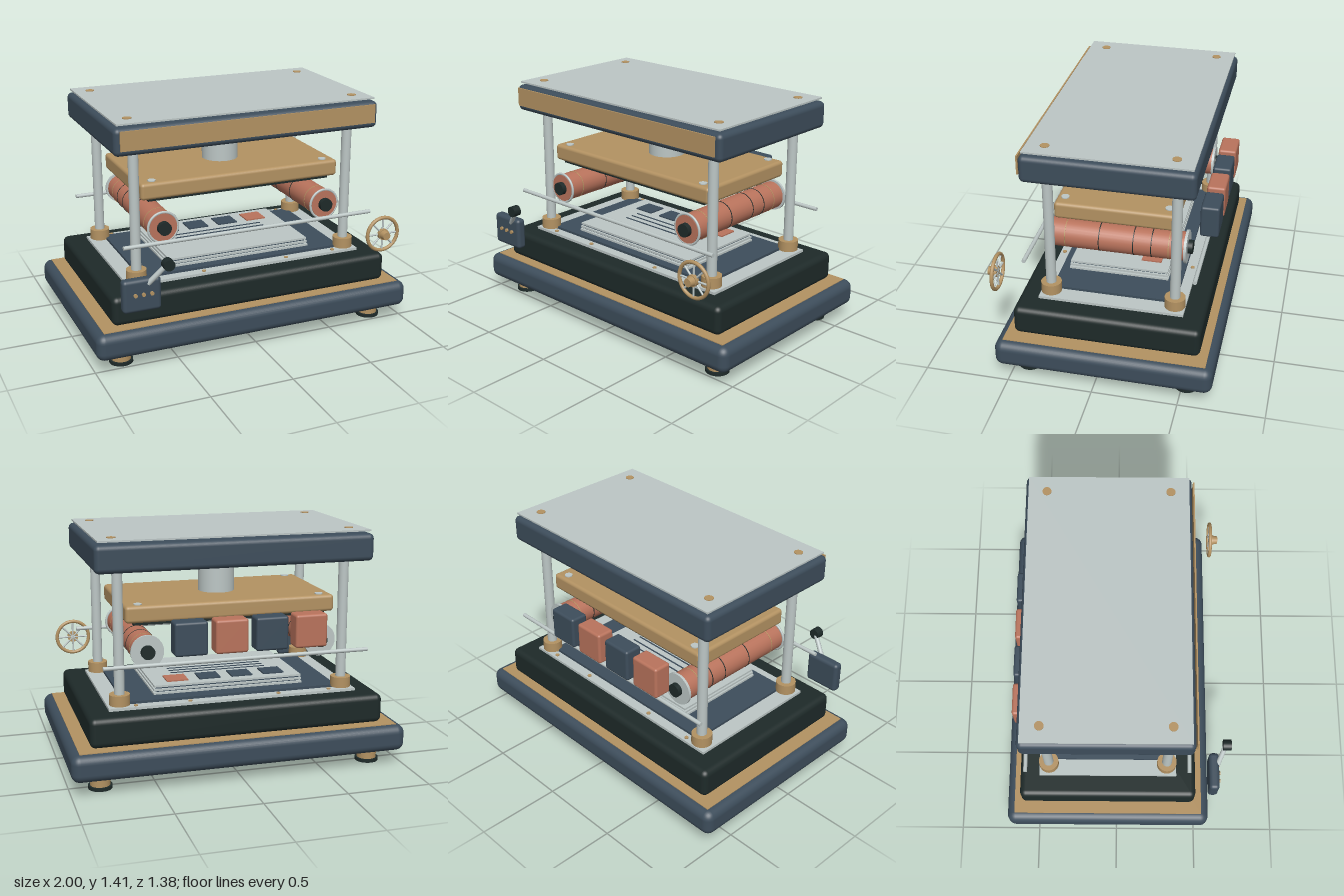
import * as THREE from 'three';
import { RoundedBoxGeometry } from 'three/addons/geometries/RoundedBoxGeometry.js';

const mat = (name, color) => {
  const m = new THREE.MeshStandardMaterial({ color });
  m.name = name;
  return m;
};

export function createModel() {
  const model = new THREE.Group();
  model.name = 'press';
  const slate = mat('slate blue', 0x3d4d5b);
  const black = mat('green black', 0x1e2a29);
  const brass = mat('brass', 0xb39262);
  const copper = mat('copper', 0xb9735c);
  const steel = mat('pale steel', 0xbcc6c5);
  const CZ = -0.055; // depth centre of the press body

  const add = (name, geo, material, x, y, z, parent = model) => {
    const mesh = new THREE.Mesh(geo, material);
    mesh.name = name;
    mesh.position.set(x, y, z);
    parent.add(mesh);
    return mesh;
  };
  // Box from its size, bottom height and centre; r rounds the edges
  const block = (name, material, w, h, d, x, y0, z, r = 0) =>
    add(name, r ? new RoundedBoxGeometry(w, h, d, 4, r) : new THREE.BoxGeometry(w, h, d),
      material, x, y0 + h / 2, z);
  // Upright cylinder
  const post = (name, material, r, h, x, y0, z, seg = 32) =>
    add(name, new THREE.CylinderGeometry(r, r, h, seg), material, x, y0 + h / 2, z);
  // Cylinder lying along z
  const axle = (name, material, r, len, x, y, z, parent = model, r2 = r) => {
    const m = add(name, new THREE.CylinderGeometry(r, r2, len, 32), material, x, y, z, parent);
    m.rotation.x = Math.PI / 2;
    return m;
  };
  // Cylinder between two points
  const rod = (name, material, a, b, r, parent = model) => {
    const p = new THREE.Vector3(...a), q = new THREE.Vector3(...b);
    const m = add(name, new THREE.CylinderGeometry(r, r, p.distanceTo(q), 16), material, 0, 0, 0, parent);
    m.position.copy(p).add(q).multiplyScalar(0.5);
    m.quaternion.setFromUnitVectors(new THREE.Vector3(0, 1, 0), q.sub(p).normalize());
    return m;
  };
  const corners = (x, dz, fn) => {
    for (const sx of [-1, 1]) for (const sz of [-1, 1]) fn(sx * x, CZ + sz * dz);
  };

  // Stepped base
  block('base', slate, 2, 0.16, 1.27, 0, 0.09, CZ, 0.05);
  block('baseTrim', brass, 1.9, 0.008, 1.18, 0, 0.246, CZ);
  block('plinth', black, 1.76, 0.175, 1.09, 0, 0.254, CZ, 0.035);
  block('bedPlate', steel, 1.5, 0.018, 0.85, 0, 0.427, CZ);
  block('bed', slate, 1.3, 0.015, 0.73, 0, 0.445, CZ);
  for (const x of [-0.59, -0.27, 0.27, 0.59])
    for (const s of [-1, 1]) post('bedScrew', brass, 0.012, 0.008, x, 0.443, CZ + s * 0.4, 12);

  // Feet
  corners(0.82, 0.47, (x, z) => {
    post('foot', brass, 0.058, 0.075, x, 0.018, z);
    post('footPad', black, 0.07, 0.02, x, 0, z);
  });

  // Sheet stack with printed rows and tiles
  [0.463, 0.483, 0.504].forEach((y, i) =>
    block('sheet', steel, 0.92 - i * 0.006, 0.012, 0.6 - i * 0.006, 0, y, -0.04));
  for (const y of [0.475, 0.495]) block('sheetGap', slate, 0.89, 0.009, 0.57, 0, y, -0.04);
  for (const z of [0, -0.05, -0.1]) block('printedLine', slate, 0.6, 0.004, 0.008, 0, 0.516, z);
  [-0.3, -0.1, 0.1, 0.3].forEach((x, i) =>
    block('printedTile', i === 3 ? copper : slate, 0.13, 0.008, 0.12, x, 0.516, -0.22));

  // Columns and collars
  corners(0.678, 0.365, (x, z) => {
    post('column', steel, 0.03, 0.8, x, 0.44, z);
    post('collar', brass, 0.06, 0.063, x, 0.45, z);
  });

  // Head with front panel and cover sheet
  block('head', slate, 1.64, 0.16, 0.97, 0, 1.227, CZ, 0.03);
  block('frontPanel', brass, 1.58, 0.112, 0.009, 0, 1.263, 0.441);
  block('coverSheet', steel, 1.6, 0.01, 0.935, 0, 1.4, CZ);
  corners(0.705, 0.36, (x, z) => post('coverBolt', brass, 0.026, 0.017, x, 1.397, z, 20));

  // Ram and platen
  post('ram', steel, 0.11, 0.22, 0, 1.01, CZ, 48);
  block('platen', brass, 1.26, 0.1, 0.7, 0, 0.912, CZ, 0.02);
  block('platenPad', black, 1.16, 0.018, 0.645, 0, 0.896, CZ);
  corners(0.55, 0.3, (x, z) => post('platenBolt', steel, 0.024, 0.008, x, 1.01, z, 20));

  // Ink rollers
  for (const x of [-0.52, 0.52]) {
    const roller = new THREE.Group();
    roller.name = 'roller';
    roller.position.set(x, 0.758, CZ);
    model.add(roller);
    axle('drum', copper, 0.084, 0.81, 0, 0, 0, roller);
    for (const z of [0.3, 0.1, -0.1, -0.205, -0.305])
      axle('drumBand', z === 0.3 || z === -0.305 ? brass : black, 0.0855, 0.005, 0, 0, z, roller);
    const ring = add('frontRing', new THREE.TorusGeometry(0.09, 0.008, 10, 40), steel, 0, 0, 0.397, roller);
    ring.scale.z = 0.9;
    axle('backFlange', steel, 0.097, 0.015, 0, 0, -0.4, roller);
    axle('hub', black, 0.04, 0.87, 0, 0, 0, roller);
  }

  // Side-to-side rails
  for (const z of [0.435, -0.545]) rod('rail', steel, [-0.79, 0.702, z], [0.79, 0.702, z], 0.012);

  // Rear ink boxes
  [-0.412, -0.175, 0.063, 0.3].forEach((x, i) =>
    block('inkBox', i % 2 ? slate : copper, 0.192, 0.195, 0.11, x, 0.755, -0.56, 0.015));

  // Handwheel
  const wheel = new THREE.Group();
  wheel.name = 'handwheel';
  wheel.position.set(0.79, 0.61, 0.595);
  model.add(wheel);
  add('rim', new THREE.TorusGeometry(0.103, 0.011, 12, 48), brass, 0, 0, 0, wheel);
  for (let i = 0; i < 8; i++) {
    const a = (i * Math.PI) / 4;
    rod('spoke', steel, [0, 0, 0], [0.1 * Math.cos(a), 0.1 * Math.sin(a), 0], 0.006, wheel);
  }
  axle('hub', brass, 0.034, 0.024, 0, 0, 0.008, wheel);
  axle('hubCap', brass, 0.024, 0.035, 0, 0, 0.034, wheel, 0.03);

  // Control box with lever
  block('controlBox', slate, 0.225, 0.195, 0.062, -0.747, 0.388, 0.595, 0.022);
  for (const x of [-0.79, -0.742, -0.694]) axle('indicator', brass, 0.011, 0.016, x, 0.495, 0.63);
  rod('lever', steel, [-0.71, 0.55, 0.615], [-0.61, 0.668, 0.66], 0.015);
  axle('leverKnob', black, 0.033, 0.05, -0.61, 0.668, 0.668);

  return model;
}
